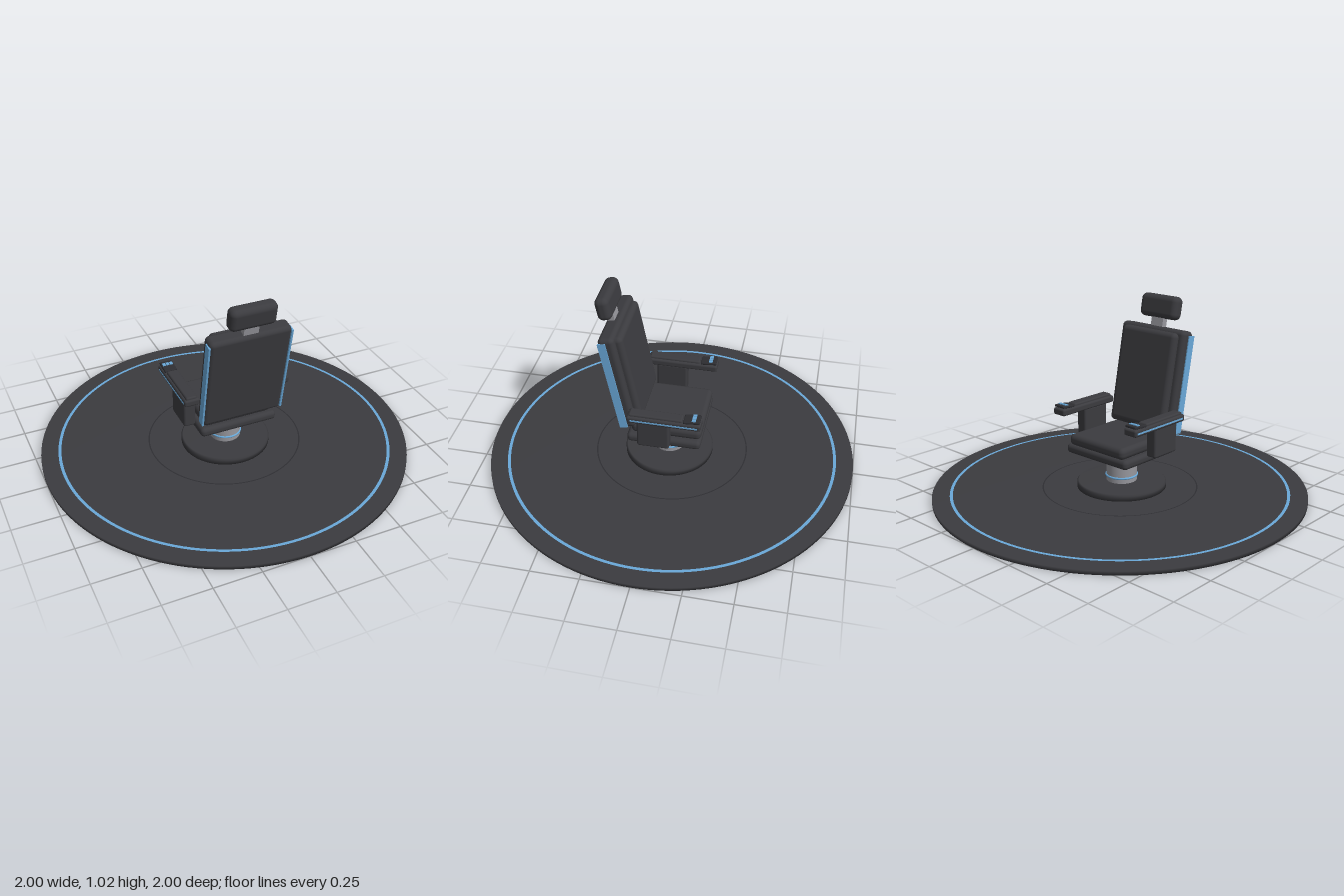
import * as THREE from 'three';
import { RoundedBoxGeometry } from 'three/addons/geometries/RoundedBoxGeometry.js';

export function createModel() {
  const mat = (name, color) => {
    const m = new THREE.MeshStandardMaterial({ color });
    m.name = name;
    return m;
  };
  const charcoal = mat('charcoal', 0x3b3b3f);
  const darkGrey = mat('dark grey', 0x2e2e32);
  const metal = mat('metal grey', 0x97979d);
  const blue = mat('light blue', 0x69a8d8);

  const model = new THREE.Group();
  model.name = 'swivelChairOnPlatform';

  const add = (parent, name, geometry, material, x = 0, y = 0, z = 0) => {
    const mesh = new THREE.Mesh(geometry, material);
    mesh.name = name;
    mesh.position.set(x, y, z);
    parent.add(mesh);
    return mesh;
  };
  const rounded = (w, h, d, r) => new RoundedBoxGeometry(w, h, d, 4, r);
  const box = (w, h, d) => new THREE.BoxGeometry(w, h, d);
  const lathe = (pts, n = 96) =>
    new THREE.LatheGeometry(pts.map(([x, y]) => new THREE.Vector2(x, y)), n);
  const flatRing = (inner, outer) =>
    new THREE.RingGeometry(inner, outer, 128).rotateX(-Math.PI / 2);

  // Round platform with its inlaid rings
  add(model, 'platform', lathe([[0, 0], [1, 0], [1, 0.02], [0, 0.02]], 128), charcoal);
  add(model, 'platformLightRing', flatRing(0.892, 0.908), blue, 0, 0.0225);
  add(model, 'platformInnerRing', flatRing(0.411, 0.418), darkGrey, 0, 0.0215);

  const chair = new THREE.Group();
  chair.name = 'chair';
  chair.position.z = 0.013;
  model.add(chair);

  // Pedestal
  add(chair, 'pedestalBase',
    lathe([[0, 0.02], [0.24, 0.02], [0.24, 0.047], [0.232, 0.055], [0, 0.055]]), charcoal);
  add(chair, 'column', new THREE.CylinderGeometry(0.083, 0.083, 0.16, 48), metal, 0, 0.135);
  add(chair, 'columnLightRing',
    new THREE.TorusGeometry(0.083, 0.006, 10, 64).rotateX(Math.PI / 2), blue, 0, 0.084);

  // Seat: wide pan and softer cushion
  add(chair, 'seatPan', rounded(0.43, 0.052, 0.395, 0.022), charcoal, 0, 0.232, -0.008);
  add(chair, 'seatCushion', rounded(0.385, 0.062, 0.375, 0.026), charcoal, 0, 0.285, -0.018);

  // Reclined back with side lights and headrest
  const back = new THREE.Group();
  back.name = 'backrest';
  back.position.set(0, 0.58, 0.23);
  back.rotation.x = 0.193;
  chair.add(back);
  add(back, 'backShell', rounded(0.44, 0.555, 0.085, 0.024), charcoal);
  add(back, 'backCushion', rounded(0.375, 0.52, 0.08, 0.026), charcoal, 0, 0, -0.036);
  for (const s of [1, -1]) {
    add(back, 'backSideLight', box(0.01, 0.525, 0.042), blue, s * 0.221, -0.006, 0.02);
  }
  add(back, 'headrestPost', box(0.08, 0.08, 0.034), metal, 0, 0.305, 0.008);
  add(back, 'headrest', rounded(0.25, 0.125, 0.075, 0.03), charcoal, 0, 0.384, 0.01);

  // Armrests, mirrored
  for (const s of [1, -1]) {
    const arm = new THREE.Group();
    arm.name = s > 0 ? 'leftArmrest' : 'rightArmrest';
    arm.position.x = s * 0.255;
    model.add(arm);
    add(arm, 'armSupport', rounded(0.064, 0.165, 0.17, 0.012), charcoal, -s * 0.004, 0.333, 0.045);
    add(arm, 'armBeam', rounded(0.082, 0.038, 0.385, 0.011), charcoal, 0, 0.426, -0.013);
    add(arm, 'armPad', rounded(0.058, 0.022, 0.28, 0.009), charcoal, 0, 0.446, 0.03);
    add(arm, 'armSideLight', box(0.004, 0.009, 0.35), blue, s * 0.0405, 0.425, -0.015);

    // Tilted control panel with three keys
    const panel = new THREE.Group();
    panel.name = 'controlPanel';
    panel.position.set(0, 0.452, -0.158);
    panel.rotation.x = 0.1;
    arm.add(panel);
    add(panel, 'controlPlate', rounded(0.068, 0.014, 0.086, 0.005), darkGrey);
    for (const i of [-1, 0, 1]) {
      add(panel, 'controlKey', box(0.016, 0.006, 0.02), blue, i * 0.02, 0.0085, -0.012);
    }
  }

  return model;
}
